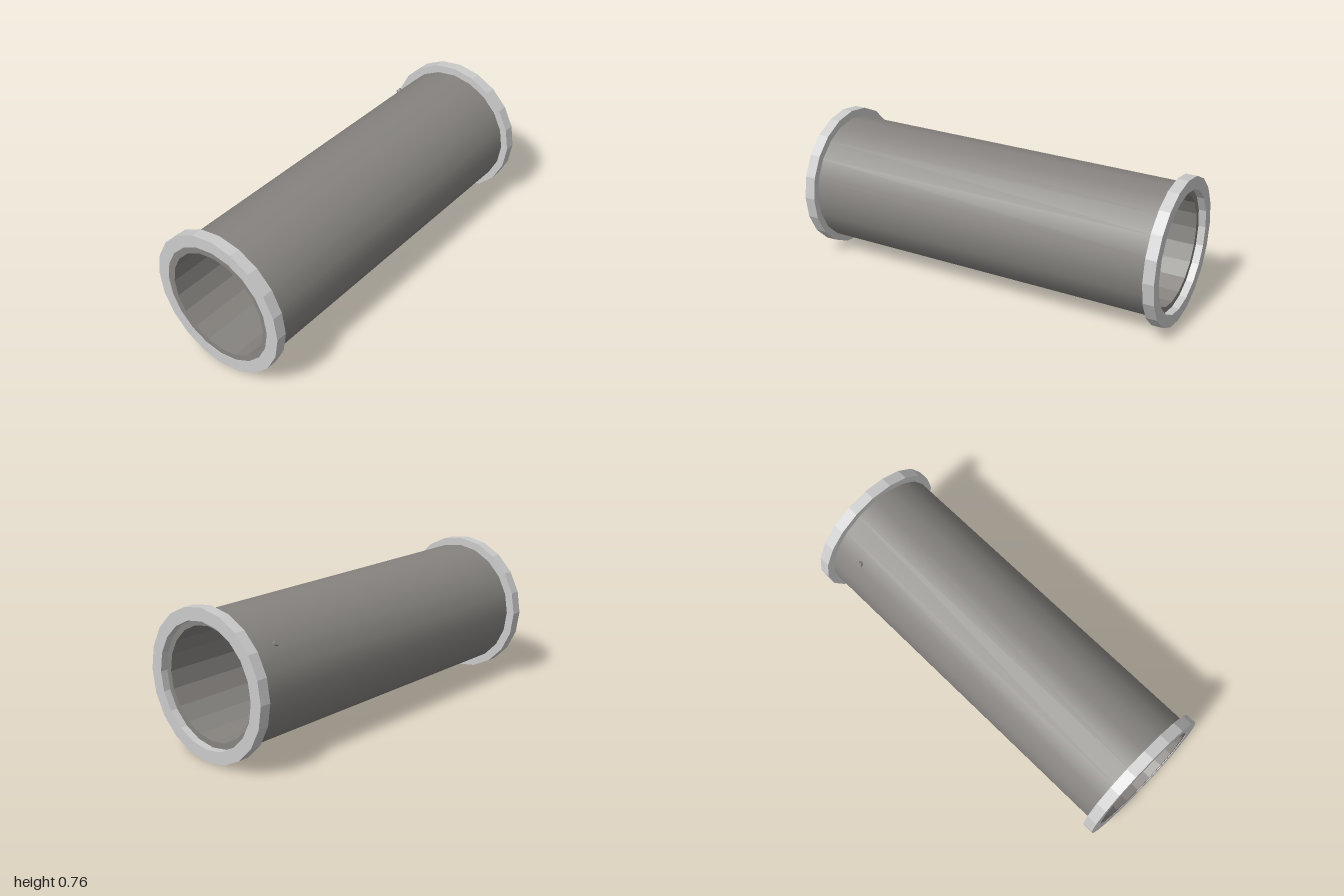
import * as THREE from 'three';

const SIDES = 20;
const CENTRE_Y = 0.38;
const flangeMaterial = new THREE.MeshStandardMaterial({ color: 0xcccccc });
const pipeMaterial = new THREE.MeshStandardMaterial({ color: 0x878480 });

// Faceted turned part along z from [radius, z] points
function turned(points) {
  const lathe = new THREE.LatheGeometry(points.map(([r, z]) => new THREE.Vector2(r, z)), SIDES);
  const geometry = lathe.rotateX(Math.PI / 2).toNonIndexed();
  geometry.computeVertexNormals();
  return geometry;
}

export function createModel() {
  const model = new THREE.Group();
  model.name = 'flangedPipe';

  function add(name, geometry, material, x, y, z) {
    const mesh = new THREE.Mesh(geometry, material);
    mesh.name = name;
    mesh.position.set(x, y, z);
    model.add(mesh);
    return mesh;
  }

  // Pipe: smooth outer wall, faceted bore and end rims
  const back = -0.962, front = 0.997;
  const outer = 0.339, inner = 0.284, pipeX = 0.003;
  const wall = new THREE.CylinderGeometry(outer, outer, front - back, SIDES, 1, true).rotateX(Math.PI / 2);
  add('pipeOuterWall', wall, pipeMaterial, pipeX, CENTRE_Y, (front + back) / 2);
  add('pipeBore', turned([[outer, front], [inner, front], [inner, back], [outer, back]]),
    pipeMaterial, pipeX, CENTRE_Y, 0);

  // End flanges
  const h = 0.029, rim = 0.38, hole = 0.315;
  const ring = turned([[rim, -h], [rim, h], [hole, h], [hole, -h], [rim, -h]]);
  add('frontFlange', ring, flangeMaterial, -0.002, CENTRE_Y, 1 - h);
  add('backFlange', ring, flangeMaterial, 0.001, CENTRE_Y, -1 + h);

  // Small button on the upper right flank near the back
  const outward = new THREE.Vector3(-0.77, 0.638, 0).normalize();
  const button = add('button', new THREE.CylinderGeometry(0.013, 0.017, 0.022, 10), pipeMaterial,
    pipeX + outward.x * 0.337, CENTRE_Y + outward.y * 0.337, -0.785);
  button.quaternion.setFromUnitVectors(new THREE.Vector3(0, 1, 0), outward);

  return model;
}
